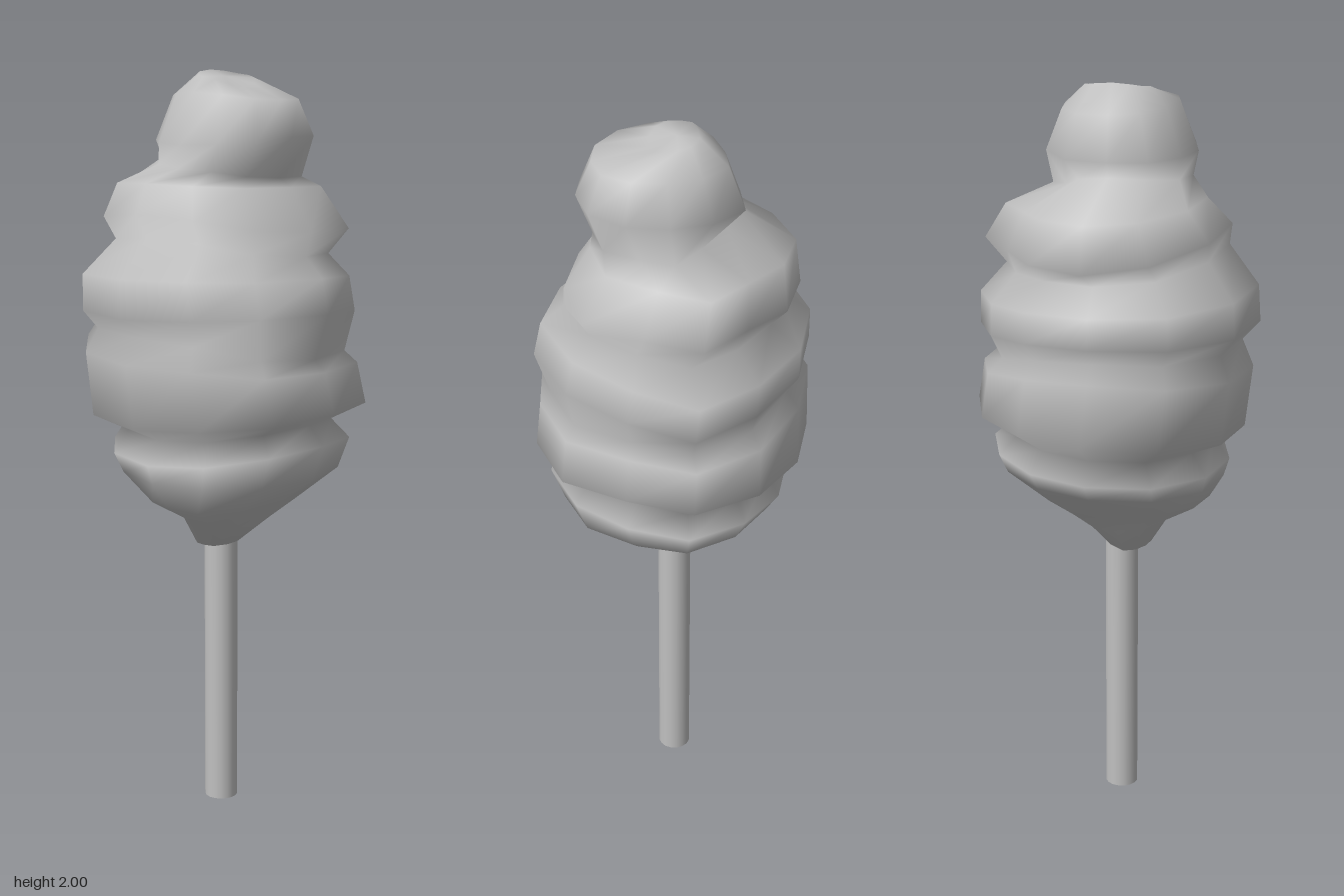
import * as THREE from 'three';

// Each part of the floss lists its rings from bottom to top as
// [x, y] right, [x, y] left, [z, y] front, [z, y] back.
// swell scales the eight corners between those directions, at
// 30, 60, 120, 150, 210, 240, 300 and 330 degrees from +x towards +z.
const TIP = { swell: [1, 1, 1.1, 1.1, 1, 1, 1.1, 1.1], rings: [
  [0.03, 0.79, -0.10, 0.745, 0.07, 0.755, -0.06, 0.735],
  [0.10, 0.83, -0.15, 0.825, 0.13, 0.81, -0.09, 0.80],
  [0.18, 0.87, -0.255, 0.88, 0.21, 0.88, -0.15, 0.86],
] };
const CONE = { swell: [0.93, 0.98, 1.02, 0.99, 1.03, 1.05, 0.96, 0.96], rings: [
  [0.32, 0.965, -0.295, 0.95, 0.295, 0.955, -0.27, 0.96],
  [0.34, 1.02, -0.31, 1.0, 0.33, 1.05, -0.31, 1.01],
  [0.285, 1.07, -0.265, 1.06, 0.285, 1.10, -0.275, 1.07],
] };
const LOW_COIL = { swell: [0.90, 1.0, 1.07, 0.97, 1.05, 1.07, 0.96, 0.97], rings: [
  [0.38, 1.13, -0.35, 1.10, 0.365, 1.14, -0.36, 1.13],
  [0.36, 1.24, -0.37, 1.27, 0.35, 1.25, -0.36, 1.30],
  [0.32, 1.275, -0.34, 1.34, 0.32, 1.28, -0.325, 1.345],
] };
const MID_COIL = { swell: [0.88, 0.95, 0.93, 0.90, 1.04, 1.04, 0.95, 0.92], rings: [
  [0.37, 1.34, -0.385, 1.39, 0.36, 1.40, -0.36, 1.39],
  [0.365, 1.43, -0.38, 1.49, 0.34, 1.49, -0.36, 1.47],
  [0.295, 1.51, -0.30, 1.59, 0.28, 1.54, -0.275, 1.53],
] };
const TOP_COIL = { swell: [0.91, 1.06, 0.94, 0.94, 1.04, 1.0, 0.91, 0.82], rings: [
  [0.345, 1.58, -0.31, 1.65, 0.28, 1.60, -0.325, 1.57],
  [0.28, 1.68, -0.25, 1.72, 0.21, 1.71, -0.31, 1.69],
  [0.17, 1.725, -0.20, 1.76, 0.20, 1.735, -0.16, 1.78],
] };
const BALL = { swell: [1.03, 1.05, 1.02, 1.0, 1.0, 1.04, 1.12, 1.06], rings: [
  [0.18, 1.83, -0.21, 1.82, 0.24, 1.84, -0.17, 1.82],
  [0.14, 1.93, -0.16, 1.95, 0.20, 1.93, -0.13, 1.93],
  [0.08, 1.985, -0.09, 1.985, 0.06, 1.96, -0.06, 2.0],
] };
const SIDES = 12;

// Skins the rings; each is an off-centre oval whose height varies around it
function flossGeometry() {
  const pos = [], index = [];
  let count = 0;
  for (const { swell, rings } of [TIP, CONE, LOW_COIL, MID_COIL, TOP_COIL, BALL]) {
    for (const [xr, yr, xl, yl, zf, yf, zb, yb] of rings) {
      for (let j = 0; j < SIDES; j++) {
        const a = (j / SIDES) * Math.PI * 2, c = Math.cos(a), s = Math.sin(a);
        const f = j % 3 === 0 ? 1 : swell[Math.floor(j / 3) * 2 + (j % 3) - 1];
        pos.push(
          (xr + xl) / 2 + ((xr - xl) / 2) * c * f,
          c * c * (c > 0 ? yr : yl) + s * s * (s > 0 ? yf : yb),
          (zf + zb) / 2 + ((zf - zb) / 2) * s * f,
        );
      }
      count++;
    }
  }
  for (let i = 0; i < count - 1; i++) {
    for (let j = 0; j < SIDES; j++) {
      const a = i * SIDES + j, b = i * SIDES + ((j + 1) % SIDES);
      const c = a + SIDES, d = b + SIDES;
      index.push(a, c, b, b, c, d);
    }
  }
  // Closing fans at the tip and the crown
  const bottom = count * SIDES, top = bottom + 1, last = bottom - SIDES;
  pos.push(-0.03, 0.76, 0, -0.005, 1.985, -0.01);
  for (let j = 0; j < SIDES; j++) {
    const k = (j + 1) % SIDES;
    index.push(bottom, j, k, top, last + k, last + j);
  }
  const g = new THREE.BufferGeometry();
  g.setAttribute('position', new THREE.Float32BufferAttribute(pos, 3));
  g.setIndex(index);
  g.computeVertexNormals();
  return g;
}

export function createModel() {
  const group = new THREE.Group();
  group.name = 'cottonCandy';
  const grey = new THREE.MeshStandardMaterial({ color: 0xc0c0c0 });
  grey.name = 'light grey';

  // Spun sugar
  const floss = new THREE.Mesh(flossGeometry(), grey);
  floss.name = 'sugarFloss';

  // Stick
  const stick = new THREE.Mesh(new THREE.CylinderGeometry(0.045, 0.045, 0.85, 16), grey);
  stick.name = 'stick';
  stick.position.set(-0.02, 0.425, -0.007);

  group.add(floss, stick);
  return group;
}
